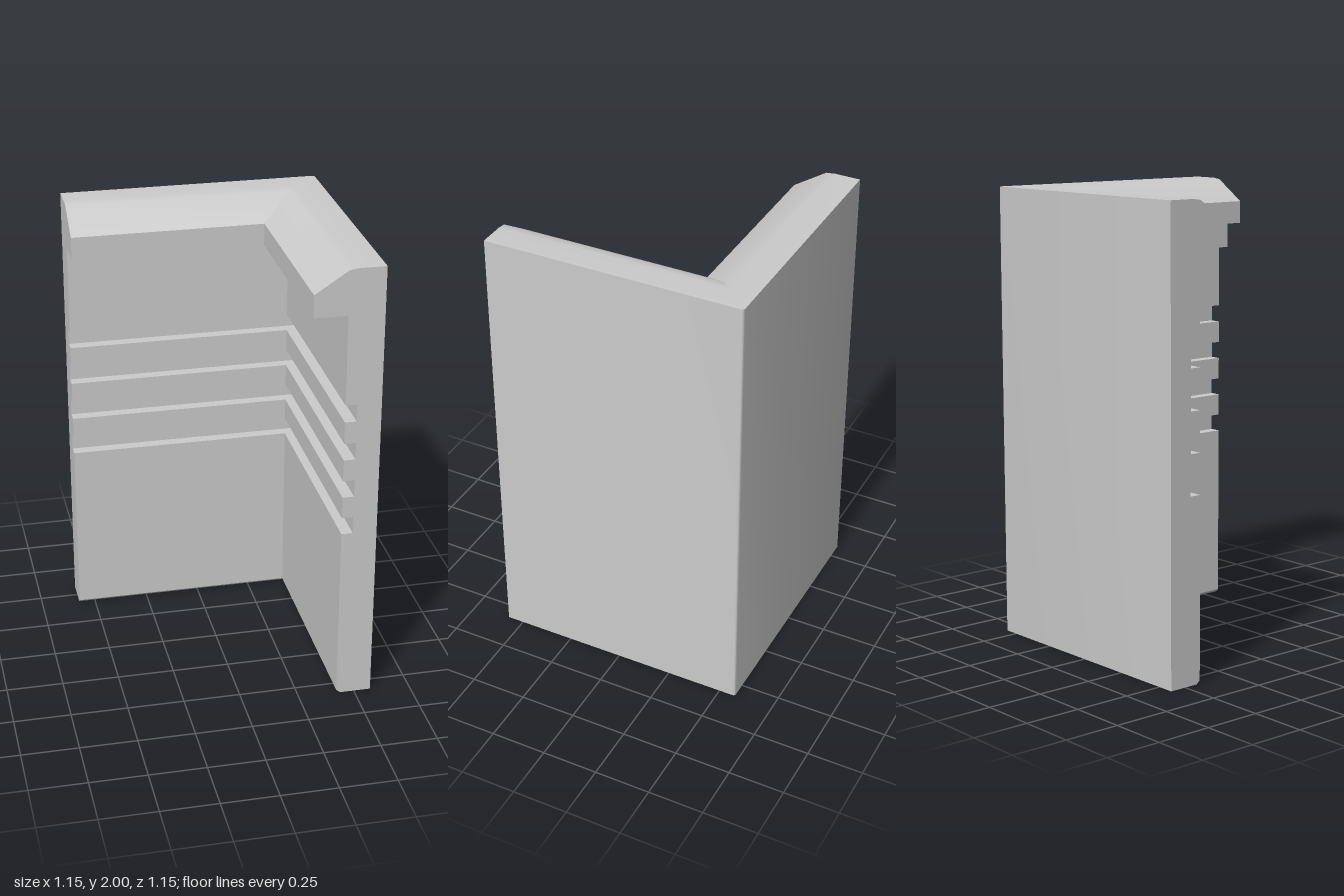
import * as THREE from 'three';
import { toCreasedNormals } from 'three/addons/utils/BufferGeometryUtils.js';

const HALF = 0.575;    // outer face of both walls, and their free ends
const INNER = 0.42;    // inner wall face
const GROOVE = 0.47;   // bottom of the grooves
const LIP = 0.275;     // front of the overhanging cap
const ROUND = 0.012;   // rounding of the outer vertical corner

// Wall cross-section as (distance from centre, height), counterclockwise
function wallProfile() {
  const p = [[INNER + 0.017, 0], [HALF, 0], [HALF, 2]];
  // sloping cap with a soft shoulder
  p.push([0.46, 2], [INNER, 1.995], [LIP, 1.9], [LIP, 1.8], [INNER, 1.8]);
  // four horizontal grooves, from the top down
  for (const y of [1.325, 1.15, 0.975, 0.8]) {
    p.push([INNER, y + 0.077], [GROOVE, y + 0.077], [GROOVE, y], [INNER, y]);
  }
  // small chamfer at the foot
  p.push([INNER, 0.015]);
  return p.map(([d, y]) => new THREE.Vector2(d, y));
}

// Sweep the profile along the back wall, round the mitred corner, along the side wall
function corneredWall() {
  const profile = wallProfile();
  const sections = [profile.map((p) => new THREE.Vector3(-HALF, p.y, -p.x))];
  const steps = 4;
  for (let k = 0; k <= steps; k++) {
    const a = (k / steps) * Math.PI / 2;
    sections.push(profile.map((p) => {
      const r = p.x === HALF ? ROUND : 0;
      return new THREE.Vector3(p.x - r + r * Math.sin(a), p.y, -p.x + r - r * Math.cos(a));
    }));
  }
  sections.push(profile.map((p) => new THREE.Vector3(p.x, p.y, HALF)));

  const positions = [];
  const triangle = (a, b, c) => {
    if (a.distanceTo(b) < 1e-6 || b.distanceTo(c) < 1e-6 || c.distanceTo(a) < 1e-6) return;
    for (const v of [a, b, c]) positions.push(v.x, v.y, v.z);
  };
  // skin between neighbouring sections
  for (let s = 0; s + 1 < sections.length; s++) {
    const A = sections[s], B = sections[s + 1];
    for (let i = 0; i < profile.length; i++) {
      const j = (i + 1) % profile.length;
      triangle(A[i], A[j], B[j]);
      triangle(A[i], B[j], B[i]);
    }
  }
  // flat free ends
  const first = sections[0], last = sections[sections.length - 1];
  for (const [a, b, c] of THREE.ShapeUtils.triangulateShape(profile, [])) {
    triangle(first[c], first[b], first[a]);
    triangle(last[a], last[b], last[c]);
  }
  const geometry = new THREE.BufferGeometry();
  geometry.setAttribute('position', new THREE.Float32BufferAttribute(positions, 3));
  return toCreasedNormals(geometry, Math.PI / 6);
}

export function createModel() {
  const group = new THREE.Group();
  group.name = 'cornerWall';
  const wall = new THREE.Mesh(corneredWall(), new THREE.MeshStandardMaterial({ color: 0xcccccc }));
  wall.name = 'groovedWallWithCap';
  group.add(wall);
  return group;
}
